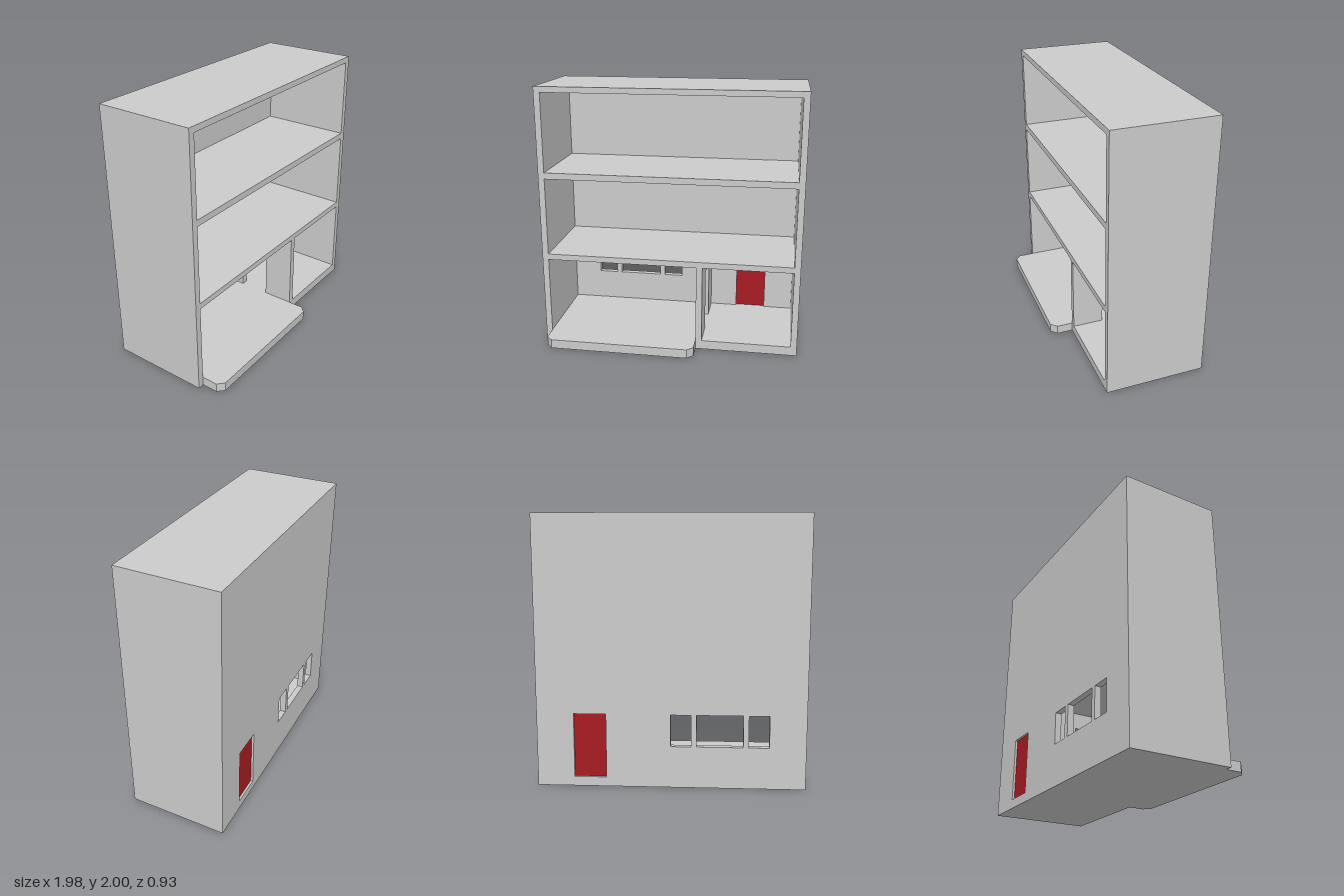
import * as THREE from 'three';

const grey = new THREE.MeshStandardMaterial({ color: 0xcccccc, flatShading: true });
const red = new THREE.MeshStandardMaterial({ color: 0xa81c24, flatShading: true });

const W = 0.988;                 // half width
const BACK = -0.463, FRONT = 0.295, WALL = 0.047;
const INNER = BACK + WALL;       // inside face of the back wall
const FLOOR = 0.07;

const points = (list) => list.map(([x, y]) => new THREE.Vector2(x, y));
const rect = (x0, x1, y0, y1) => points([[x0, y0], [x1, y0], [x1, y1], [x0, y1]]);

// Flat panel from an outline with holes, extruded by depth
function panel(name, outline, holes, depth) {
  const shape = new THREE.Shape(outline);
  holes.forEach((h) => shape.holes.push(new THREE.Path(h)));
  const geometry = new THREE.ExtrudeGeometry(shape, { depth, bevelEnabled: false });
  const mesh = new THREE.Mesh(geometry, grey);
  mesh.name = name;
  return mesh;
}

export function createModel() {
  const group = new THREE.Group();
  group.name = 'openHouse';
  const outer = rect(-W, W, 0, 2);

  // Outer walls, roof and floors, open at the front on three storeys
  const storeys = [[FLOOR, 0.67], [0.715, 1.312], [1.36, 1.957]];
  const shell = panel('wallsAndFloors', outer,
    storeys.map(([y0, y1]) => rect(-0.941, 0.941, y0, y1)), FRONT - INNER);
  shell.position.z = INNER;
  group.add(shell);

  // Back wall with three windows and the door opening
  const openings = [
    [-0.72, -0.57, 0.312, 0.55], [-0.53, -0.19, 0.312, 0.55],
    [-0.148, 0, 0.312, 0.55], [0.475, 0.713, FLOOR, 0.55],
  ];
  const backWall = panel('backWall', outer, openings.map((o) => rect(...o)), WALL);
  backWall.position.z = BACK;
  group.add(backWall);

  // Ground floor partition with a doorway, drawn in z and y
  const partition = panel('partition', points([
    [INNER, FLOOR], [-0.187, FLOOR], [-0.187, 0.55], [0.053, 0.55],
    [0.053, FLOOR], [FRONT, FLOOR], [FRONT, 0.67], [INNER, 0.67],
  ]), [], 0.047);
  partition.rotation.y = -Math.PI / 2;
  partition.position.x = 0.259;
  group.add(partition);

  // Front terrace with cut corners, drawn in x and -z
  const x0 = -0.941, x1 = 0.212, z1 = 0.463, cut = 0.046;
  const terrace = panel('terrace', points([
    [x0, -z1 + cut], [x0 + cut, -z1], [x1 - cut, -z1],
    [x1, -z1 + cut], [x1, -FRONT], [x0, -FRONT],
  ]), [], FLOOR);
  terrace.rotation.x = -Math.PI / 2;
  group.add(terrace);

  // Door set midway into the back wall
  const door = new THREE.Mesh(new THREE.BoxGeometry(0.238, 0.48, 0.012), red);
  door.name = 'door';
  door.position.set(0.594, 0.31, BACK + WALL / 2);
  group.add(door);

  return group;
}
